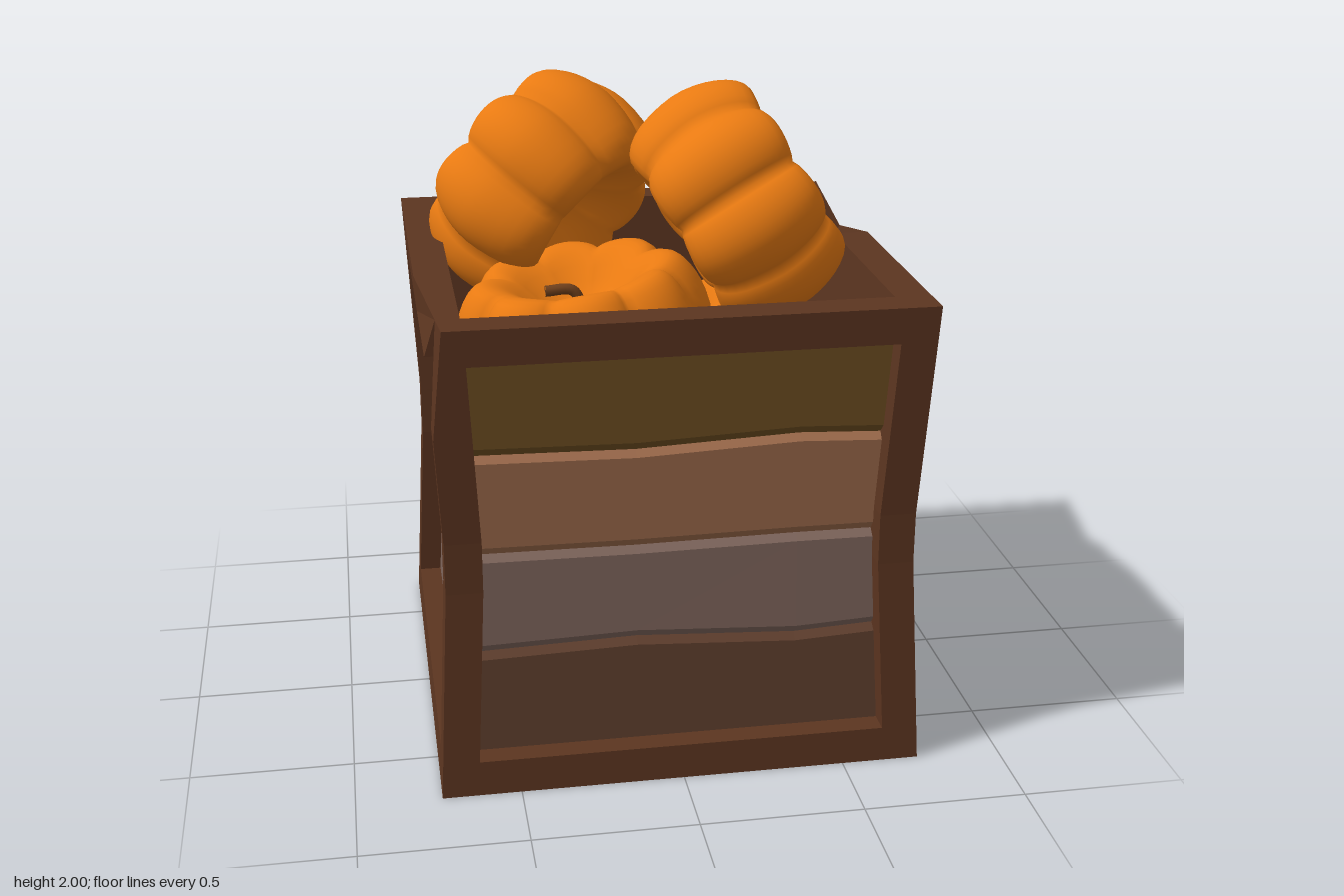
import * as THREE from 'three';
import { mergeVertices, mergeGeometries } from 'three/addons/utils/BufferGeometryUtils.js';

const mat = (color) => new THREE.MeshStandardMaterial({ color });
const OUT = 0.74, IN = 0.63, TOP = 1.48, LOW = 0.11, HIGH = 1.37;

// Box whose grid lines sit at the given breaks, with each vertex moved by a rule
function warpedBox(xs, ys, zs, rule) {
  const g = new THREE.BoxGeometry(1, 1, 1, xs.length - 1, ys.length - 1, zs.length - 1);
  const p = g.attributes.position;
  const pick = (list, t) => list[Math.round((t + 0.5) * (list.length - 1))];
  for (let i = 0; i < p.count; i++) {
    const v = new THREE.Vector3(pick(xs, p.getX(i)), pick(ys, p.getY(i)), pick(zs, p.getZ(i)));
    rule(v);
    p.setXYZ(i, v.x, v.y, v.z);
  }
  const flat = g.toNonIndexed();
  flat.computeVertexNormals();
  return flat;
}

// Crate walls lean inward towards the middle of their height
function pinch(v) {
  const d = 0.035 * Math.min(1, (0.74 - Math.abs(v.y - 0.74)) / 0.66);
  if (Math.abs(v.x) > 0.5) v.x -= Math.sign(v.x) * d;
  if (Math.abs(v.z) > 0.5) v.z -= Math.sign(v.z) * d;
}

// Frame rule: pinch plus two worn chips on the rim
function frameRule(v) {
  const { x, y, z } = v;
  pinch(v);
  if (x < -0.73 && y > 1.4 && z > 0.2) v.x += 0.05 * (z - 0.2) / 0.54;
  if (x > 0.73 && y > 1.4) v.y -= 0.07 * Math.max(0, 1 - Math.abs(z + 0.4) / 0.34);
}

function buildFrame() {
  const parts = [];
  const add = (xs, ys, zs) => parts.push(warpedBox(xs, ys, zs, frameRule));
  const sides = [[-OUT, -IN], [IN, OUT]];
  const posts = [0, 0.66, 0.82, 1.15, TOP];
  for (const a of sides) {
    for (const b of sides) add(a, posts, b);
    for (const ys of [[0, LOW], [HIGH, TOP]]) {
      add(a, ys, [-IN, -0.4, -0.06, 0.2, IN]);
      add([-IN, IN], ys, a);
    }
  }
  // Inner lining of the four walls, and the floor
  const wall = [LOW, 0.66, 0.82, HIGH];
  for (const t of [[-0.64, -IN], [IN, 0.64]]) {
    add(t, wall, [-IN, IN]);
    add([-IN, IN], wall, t);
  }
  add([-IN, IN], [0.08, LOW], [-IN, IN]);
  const mesh = new THREE.Mesh(mergeGeometries(parts), mat(0x5c3520));
  mesh.name = 'crateFrame';
  return mesh;
}

// Four planks of one side, with uneven bevelled joints
function buildSide(colors, seed) {
  const side = new THREE.Group();
  const joints = [LOW, 0.425, 0.74, 1.06, HIGH];
  const wave = (x, j) => Math.abs(x) > 0.6 ? 0 : 0.014 * Math.sin(x * 6 + j * 2.1 + seed);
  colors.forEach((color, k) => {
    const g = warpedBox([-0.64, -0.13, 0.36, 0.64], [joints[k], joints[k + 1]], [0.645, 0.668], (v) => {
      const upper = v.y > (joints[k] + joints[k + 1]) / 2;
      const j = upper ? k + 1 : k;
      const outer = v.z > 0.66;
      if (j > 0 && j < 4) {
        v.y += wave(v.x, j);
        if (outer) v.y += upper ? -0.02 : 0.028;
      }
      pinch(v);
    });
    const plank = new THREE.Mesh(g, mat(color));
    plank.name = 'plank';
    side.add(plank);
  });
  return side;
}

// Ribbed pumpkin body: a lathe with eight lobes
function pumpkinGeometry() {
  const profile = [[0, -0.03], [0.1, -0.07], [0.2, -0.165], [0.29, -0.215], [0.365, -0.15], [0.4, 0],
    [0.375, 0.13], [0.31, 0.215], [0.22, 0.2], [0.1, 0.1], [0, 0.07]];
  const curve = new THREE.SplineCurve(profile.map(([r, y]) => new THREE.Vector2(r, y)));
  const pts = curve.getPoints(36);
  pts.forEach((p) => { p.x = Math.max(0, p.x); });
  let g = new THREE.LatheGeometry(pts, 96);
  const p = g.attributes.position;
  for (let i = 0; i < p.count; i++) {
    const x = p.getX(i), y = p.getY(i), z = p.getZ(i);
    const lobe = Math.pow(Math.abs(Math.cos(4 * Math.atan2(z, x))), 0.75);
    const s = 1 - 0.13 * (1 - lobe) * Math.min(1, Math.hypot(x, z) / 0.25);
    p.setXYZ(i, x * s, y * (0.3 + 0.7 * s), z * s);
  }
  g.deleteAttribute('uv');
  g.deleteAttribute('normal');
  g = mergeVertices(g, 1e-4);
  g.computeVertexNormals();
  return g;
}

function stemGeometry() {
  const path = new THREE.CatmullRomCurve3([[0, 0.05, 0], [0, 0.12, 0], [-0.02, 0.155, 0], [-0.1, 0.165, 0]]
    .map((a) => new THREE.Vector3(...a)));
  const tube = new THREE.TubeGeometry(path, 16, 0.017, 10);
  const cap = new THREE.CircleGeometry(0.017, 10).rotateY(-Math.PI / 2).translate(-0.1, 0.165, 0);
  return mergeGeometries([tube, cap]);
}

export function createModel() {
  const model = new THREE.Group();
  model.name = 'pumpkinCrate';
  model.add(buildFrame());

  // Plank colours from bottom to top on each side
  const B = 0x5e3e2d, G = 0x7d645b, T = 0x9c6a4b, O = 0x6f4f22;
  const sides = [['front', [B, G, T, O]], ['plusX', [T, B, O, G]], ['back', [O, T, G, B]], ['minusX', [G, O, B, T]]];
  sides.forEach(([name, colors], i) => {
    const side = buildSide(colors, i * 1.7);
    side.name = name + 'Planks';
    side.rotation.y = i * Math.PI / 2;
    model.add(side);
  });

  // Pumpkins: position, yaw and tilt in degrees
  const body = pumpkinGeometry(), stem = stemGeometry();
  const orange = mat(0xe87a12), brown = mat(0x70401c);
  const heap = [
    [0.29, 1.61, 0, 0, 59],
    [-0.29, 1.61, -0.28, 140, 59],
    [-0.22, 1.26, 0.19, 0, -8],
    [0.2, 1.0, -0.21, 15, 0],
    [-0.2, 0.82, 0.2, 20, 0],
    [0.2, 0.58, -0.2, 40, 0],
  ];
  for (const [x, y, z, yaw, tilt] of heap) {
    const pumpkin = new THREE.Group();
    pumpkin.name = 'pumpkin';
    const flesh = new THREE.Mesh(body, orange);
    flesh.name = 'pumpkinBody';
    const stalk = new THREE.Mesh(stem, brown);
    stalk.name = 'pumpkinStem';
    pumpkin.add(flesh, stalk);
    pumpkin.position.set(x, y, z);
    pumpkin.rotation.set(0, yaw * Math.PI / 180, -tilt * Math.PI / 180, 'YXZ');
    model.add(pumpkin);
  }
  return model;
}
